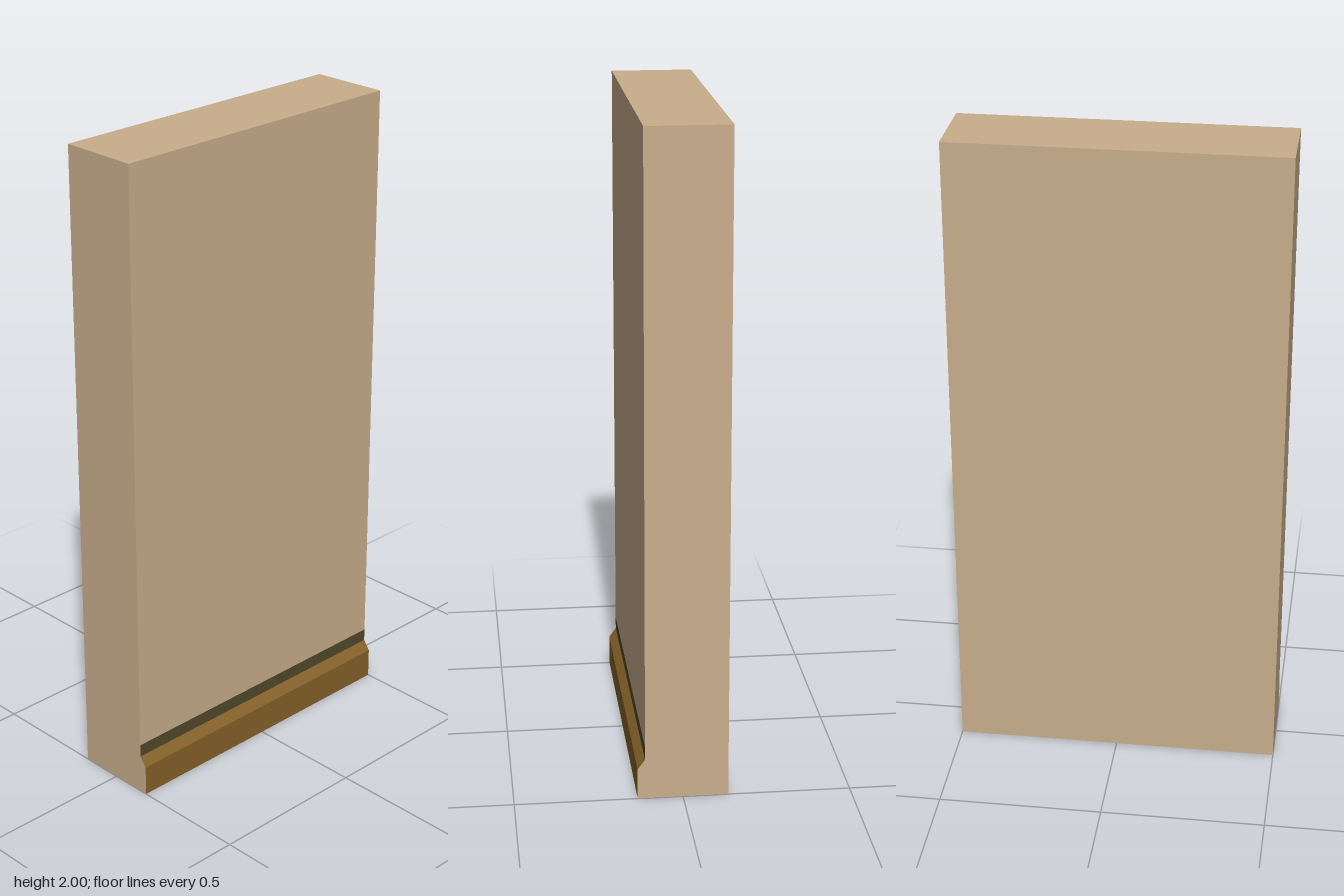
import * as THREE from 'three';

const DEPTH = 1;

const tan = new THREE.MeshStandardMaterial({ color: 0xc9ae8c });
tan.name = 'tan plaster';
const brown = new THREE.MeshStandardMaterial({ color: 0x86622a });
brown.name = 'brown wood';
const olive = new THREE.MeshStandardMaterial({ color: 0x524a2c });
olive.name = 'dark olive';

// Wall cross-section, counter-clockwise; each edge names the panel that starts there
const PROFILE = [
  { x: -0.135, y: 0, name: 'underside', material: tan },
  { x: 0.135, y: 0, name: 'skirtingFace', material: brown },
  { x: 0.135, y: 0.095, name: 'skirtingBevel', material: brown },
  { x: 0.113, y: 0.125, name: 'trimStripe', material: olive },
  { x: 0.113, y: 0.165, name: 'wallRightFace', material: tan },
  { x: 0.113, y: 2, name: 'wallTop', material: tan },
  { x: -0.135, y: 2, name: 'wallLeftFace', material: tan },
];

function addMesh(group, name, geometry, material) {
  const mesh = new THREE.Mesh(geometry, material);
  mesh.name = name;
  group.add(mesh);
}

// Flat panel running the full depth between two profile points
function panelGeometry(p, q) {
  const h = DEPTH / 2;
  const geometry = new THREE.BufferGeometry();
  geometry.setAttribute('position', new THREE.Float32BufferAttribute([
    p.x, p.y, h, p.x, p.y, -h, q.x, q.y, -h, q.x, q.y, h,
  ], 3));
  geometry.setIndex([0, 1, 2, 0, 2, 3]);
  geometry.computeVertexNormals();
  return geometry;
}

// End cap with the profile outline; the back one is mirrored, then turned around
function capGeometry(side) {
  const outline = PROFILE.map((p) => new THREE.Vector2(p.x * side, p.y));
  const geometry = new THREE.ShapeGeometry(new THREE.Shape(outline));
  geometry.translate(0, 0, DEPTH / 2);
  return side < 0 ? geometry.rotateY(Math.PI) : geometry;
}

export function createModel() {
  const group = new THREE.Group();
  group.name = 'wallWithSkirting';
  PROFILE.forEach((p, i) => {
    const q = PROFILE[(i + 1) % PROFILE.length];
    addMesh(group, p.name, panelGeometry(p, q), p.material);
  });
  addMesh(group, 'frontEnd', capGeometry(1), tan);
  addMesh(group, 'backEnd', capGeometry(-1), tan);
  return group;
}
